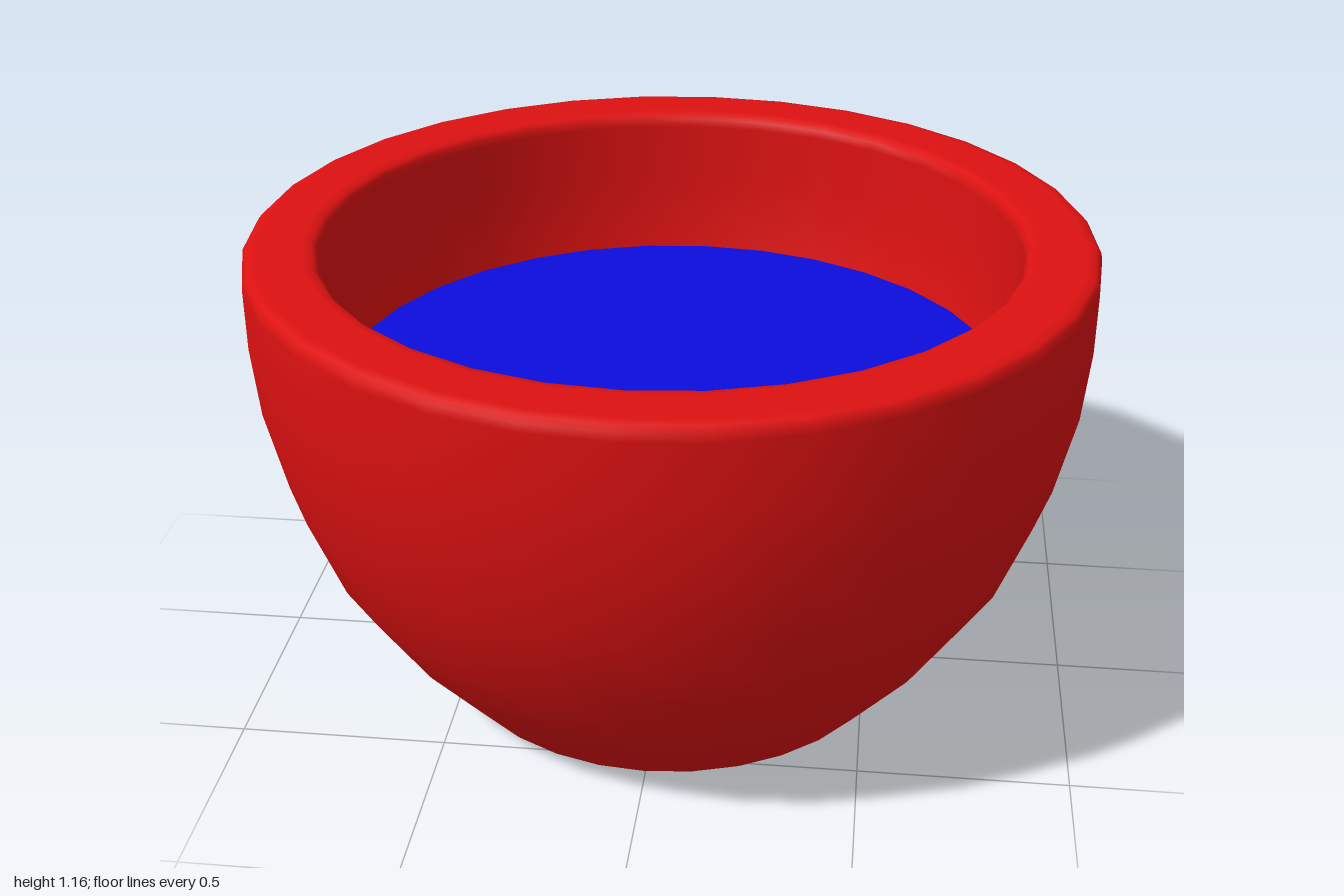
import * as THREE from 'three';

const SEGMENTS = 32;

export function createModel() {
  const group = new THREE.Group();
  group.name = 'bowl';

  // Bowl wall: foot, curved outside, rounded rim, then the inside down to its floor
  const profile = [
    [0, 0], [0.53, 0], [0.555, 0.002], [0.572, 0.012], [0.585, 0.027],
    [0.73, 0.2], [0.86, 0.4], [0.94, 0.61], [0.985, 0.81], [1, 0.98],
    [1, 1.125], [0.997, 1.145], [0.987, 1.156], [0.965, 1.16],
    [0.86, 1.16], [0.838, 1.156], [0.828, 1.145], [0.825, 1.125],
    [0.825, 0.98], [0.815, 0.78], [0.77, 0.61], [0.68, 0.42], [0.55, 0.25], [0.45, 0.18], [0, 0.18],
  ].map(([r, y]) => new THREE.Vector2(r, y));
  const wall = new THREE.Mesh(
    new THREE.LatheGeometry(profile, SEGMENTS),
    new THREE.MeshStandardMaterial({ color: 0xdd1111 }),
  );
  wall.name = 'bowlWall';
  group.add(wall);

  // Flat liquid surface filling the inside
  const liquid = new THREE.Mesh(
    new THREE.CircleGeometry(0.82, SEGMENTS).rotateX(-Math.PI / 2),
    new THREE.MeshStandardMaterial({ color: 0x0d0ddd, side: THREE.DoubleSide }),
  );
  liquid.name = 'liquidSurface';
  liquid.position.y = 0.78;
  group.add(liquid);

  return group;
}
